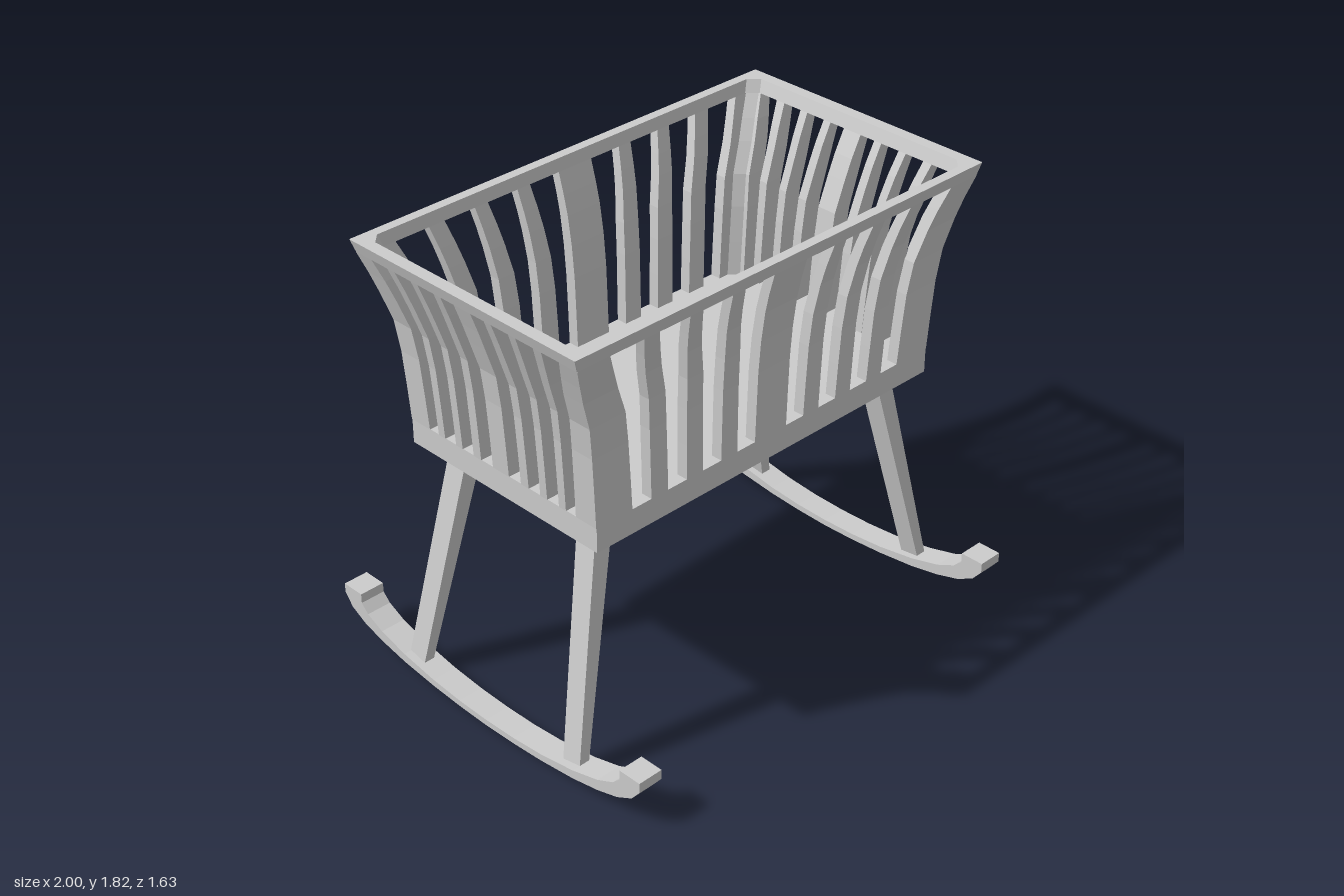
import * as THREE from 'three';

const material = new THREE.MeshStandardMaterial({ color: 0xcccccc, flatShading: true });

// Flared wall profile: height, outer half-length, outer half-depth, end wall and long wall thickness
const PROFILE = [
  [1.06, 0.848, 0.486, 0.088, 0.046],
  [1.2, 0.857, 0.490, 0.085, 0.046],
  [1.35, 0.868, 0.495, 0.082, 0.046],
  [1.48, 0.885, 0.505, 0.080, 0.045],
  [1.6, 0.925, 0.521, 0.072, 0.043],
  [1.68, 0.952, 0.538, 0.064, 0.041],
  [1.765, 0.983, 0.561, 0.050, 0.040],
];
const BOTTOM = PROFILE[0], TOP = PROFILE[PROFILE.length - 1];

// Skins a stack of horizontal loops (rising order) with outward faces
function loft(loops, name) {
  const first = loops[0];
  const area = first.reduce((sum, p, i) => {
    const q = first[(i + 1) % first.length];
    return sum + p[0] * q[2] - q[0] * p[2];
  }, 0);
  const rings = area > 0 ? loops.map((l) => [...l].reverse()) : loops;
  const positions = [];
  for (let k = 0; k + 1 < rings.length; k++) {
    const a = rings[k], b = rings[k + 1];
    a.forEach((p, i) => {
      const j = (i + 1) % a.length;
      positions.push(...p, ...a[j], ...b[j], ...p, ...b[j], ...b[i]);
    });
  }
  const geometry = new THREE.BufferGeometry();
  geometry.setAttribute('position', new THREE.Float32BufferAttribute(positions, 3));
  geometry.computeVertexNormals();
  const mesh = new THREE.Mesh(geometry, material);
  mesh.name = name;
  return mesh;
}

// Rectangle with cut corners at height y
function cutRectangle(x, z, y, c) {
  return [
    [-x + c, y, z], [x - c, y, z], [x, y, z - c], [x, y, -z + c],
    [x - c, y, -z], [-x + c, y, -z], [-x, y, -z + c], [-x, y, z - c],
  ];
}

// Position along a wall, spreading outwards with the flare
const spread = (row, axis, low, high) =>
  low + (high - low) * (row[axis] - BOTTOM[axis]) / (TOP[axis] - BOTTOM[axis]);

// Slat of a long wall (front or back) or of an end wall; edges given as [low, high] positions
function slat(onEnd, side, inner, outer, name) {
  const loops = PROFILE.map((row) => {
    const axis = onEnd ? 2 : 1;
    const a = spread(row, axis, ...inner), b = spread(row, axis, ...outer);
    const out = onEnd ? row[1] : row[2];
    const inn = out - (onEnd ? row[3] : row[4]);
    const corners = [[a, out], [b, out], [b, inn], [a, inn]];
    return corners.map(([u, d]) => (onEnd ? [side * d, row[0], u] : [u, row[0], side * d]));
  });
  return loft(loops, name);
}

// L-shaped corner post with a cut inner corner
function cornerPost(sx, sz) {
  const loops = PROFILE.map((row) => {
    const [y, X, Z, tx, tz] = row;
    const px = spread(row, 1, 0.68, 0.84), pz = spread(row, 2, 0.385, 0.475);
    const xi = X - tx, zi = Z - tz, c = 0.035;
    return [[px, Z], [X, Z], [X, pz], [xi, pz], [xi, zi - c], [xi - c, zi], [px, zi]]
      .map(([x, z]) => [sx * x, y, sz * z]);
  });
  return loft(loops, 'cornerPost');
}

// Splayed tapering leg
function leg(sx, sz) {
  const section = (y, x, z, w, d) => [[-w, d], [w, d], [w, -d], [-w, -d]]
    .map(([u, v]) => [sx * (x + u), y, sz * (z + v)]);
  return loft([section(0.04, 0.922, 0.432, 0.022, 0.043), section(0.97, 0.718, 0.337, 0.039, 0.047)], 'leg');
}

// Curved rocker with upturned ends
function rocker(sx) {
  const under = [[0.815, 0.18], [0.775, 0.13], [0.7, 0.09], [0.6, 0.06], [0.47, 0.034], [0.3, 0.014], [0.15, 0.004]];
  const upper = [[0.15, 0.03], [0.3, 0.043], [0.47, 0.071], [0.6, 0.107], [0.68, 0.145], [0.715, 0.18]];
  const mirror = (points) => [...points].reverse().map(([z, y]) => [-z, y]);
  const outline = [
    [0.815, 0.22], ...under, [0, 0], ...mirror(under), [-0.815, 0.22],
    [-0.715, 0.22], ...mirror(upper), [0, 0.026], ...upper, [0.715, 0.22],
  ];
  const shape = new THREE.Shape(outline.map(([z, y]) => new THREE.Vector2(z, y)));
  const geometry = new THREE.ExtrudeGeometry(shape, { depth: 0.106, bevelEnabled: false });
  geometry.translate(0, 0, -0.053);
  geometry.rotateY(Math.PI / 2);
  const mesh = new THREE.Mesh(geometry, material);
  mesh.position.x = sx * 0.919;
  mesh.name = 'rocker';
  return mesh;
}

export function createModel() {
  const model = new THREE.Group();
  model.name = 'rockingCradle';

  // Solid base of the basket
  const base = new THREE.Mesh(new THREE.BoxGeometry(1.692, 0.1, 0.972), material);
  base.position.y = 1.01;
  base.name = 'basketBase';
  model.add(base);

  // Rim around the top
  const rim = [
    cutRectangle(0.983, 0.561, 1.765, 0.002), cutRectangle(1, 0.57, 1.815, 0.002),
    cutRectangle(0.95, 0.53, 1.815, 0.04), cutRectangle(0.933, 0.521, 1.765, 0.04),
    cutRectangle(0.983, 0.561, 1.765, 0.002),
  ];
  model.add(loft(rim, 'topRim'));

  // Slat edges on one half of each wall: [at base, at rim]
  const longSlats = [
    [[0.17, 0.22], [0.25, 0.28]], [[0.34, 0.42], [0.42, 0.48]], [[0.51, 0.62], [0.59, 0.69]],
  ];
  const endSlats = [
    [[0.105, 0.11], [0.145, 0.145]], [[0.205, 0.23], [0.24, 0.265]], [[0.3, 0.35], [0.335, 0.39]],
  ];
  for (const side of [-1, 1]) {
    model.add(slat(false, side, [-0.08, -0.08], [0.08, 0.08], 'longWallCentreBoard'));
    model.add(slat(true, side, [-0.042, -0.042], [0.042, 0.042], 'endWallCentreBoard'));
    for (const half of [-1, 1]) {
      const flip = (edge) => edge.map((v) => v * half);
      for (const [a, b] of longSlats) model.add(slat(false, side, flip(a), flip(b), 'longWallSlat'));
      for (const [a, b] of endSlats) model.add(slat(true, side, flip(a), flip(b), 'endWallSlat'));
      model.add(cornerPost(side, half), leg(side, half));
    }
    model.add(rocker(side));
  }
  return model;
}
